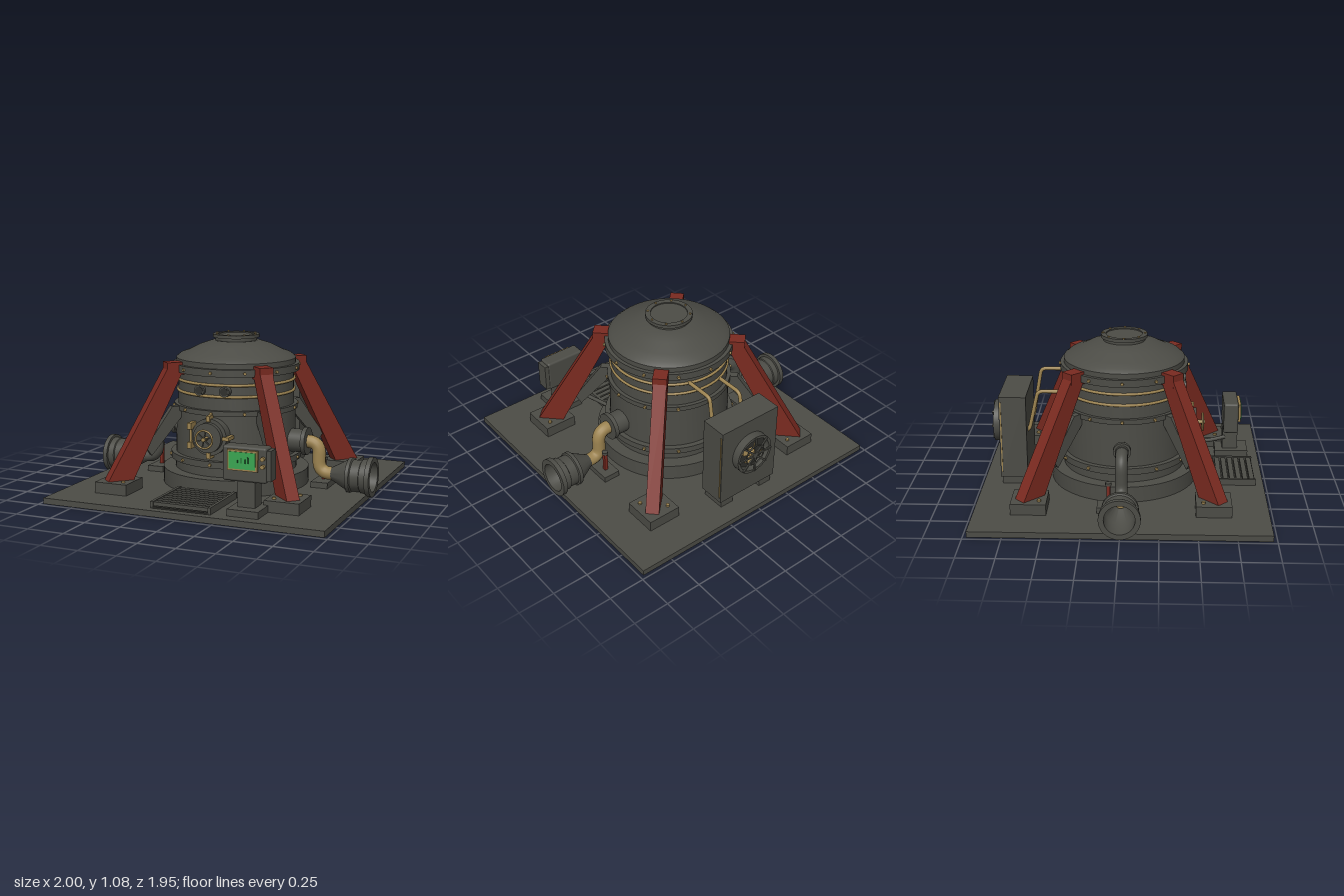
import * as THREE from 'three';
import { toCreasedNormals } from 'three/addons/utils/BufferGeometryUtils.js';
import { RoundedBoxGeometry } from 'three/addons/geometries/RoundedBoxGeometry.js';

function paint(name, color) {
  const m = new THREE.MeshStandardMaterial({ color });
  m.name = name;
  return m;
}

export function createModel() {
  const model = new THREE.Group();
  const steel = paint('dark steel', 0x4c4c46);
  const dark = paint('blackened steel', 0x30302c);
  const red = paint('red paint', 0x7a2a20);
  const brass = paint('brass', 0x9c8350);
  const green = paint('screen green', 0x3aa552);
  const deepGreen = paint('screen dark green', 0x1d5c2c);

  function add(name, geo, mat, x = 0, y = 0, z = 0, parent = model) {
    const mesh = new THREE.Mesh(geo, mat);
    mesh.name = name;
    mesh.position.set(x, y, z);
    parent.add(mesh);
    return mesh;
  }
  // box given by its extents
  function box(name, mat, x0, x1, y0, y1, z0, z1, parent = model) {
    return add(name, new THREE.BoxGeometry(x1 - x0, y1 - y0, z1 - z0), mat,
      (x0 + x1) / 2, (y0 + y1) / 2, (z0 + z1) / 2, parent);
  }
  const lathe = (pts, seg = 64) => toCreasedNormals(
    new THREE.LatheGeometry(pts.map(p => new THREE.Vector2(p[0], p[1])), seg), 0.5);
  const cylX = (r, len, seg = 32) => new THREE.CylinderGeometry(r, r, len, seg).rotateZ(-Math.PI / 2);
  const cylZ = (r, len, seg = 32) => new THREE.CylinderGeometry(r, r, len, seg).rotateX(Math.PI / 2);
  // pipe along straight runs with rounded corners
  function pipe(pts, r, bend) {
    const v = pts.map(p => new THREE.Vector3(...p));
    const path = new THREE.CurvePath();
    let from = v[0];
    for (let i = 1; i < v.length - 1; i++) {
      const a = v[i].clone().add(v[i - 1].clone().sub(v[i]).setLength(bend));
      const b = v[i].clone().add(v[i + 1].clone().sub(v[i]).setLength(bend));
      path.add(new THREE.LineCurve3(from, a));
      path.add(new THREE.QuadraticBezierCurve3(a, v[i], b));
      from = b;
    }
    path.add(new THREE.LineCurve3(from, v[v.length - 1]));
    return new THREE.TubeGeometry(path, 60, r, 16);
  }

  // ground plate
  box('basePlate', steel, -0.975, 0.975, 0.005, 0.045, -0.975, 0.975);

  // vessel with stepped flanges, dome and top cap
  add('vessel', lathe([[0.51, 0.045], [0.51, 0.155], [0.425, 0.155], [0.425, 0.22], [0.455, 0.22],
    [0.455, 0.265], [0.42, 0.265], [0.415, 0.57], [0.43, 0.57], [0.43, 0.605], [0.405, 0.605],
    [0.4, 0.835], [0.44, 0.835], [0.44, 0.885], [0.415, 0.885], [0.415, 0.92], [0.385, 0.945],
    [0.33, 0.965], [0.25, 1.005], [0.16, 1.035], [0.145, 1.035], [0.145, 1.055], [0.16, 1.055],
    [0.16, 1.078], [0.125, 1.078], [0.125, 1.07], [0, 1.07]]), steel);
  for (const y of [0.698, 0.775]) {
    add('brassBand', new THREE.TorusGeometry(0.405, 0.01, 8, 64).rotateX(Math.PI / 2), brass, 0, y, 0);
  }
  // flange bolts
  for (const [y, r] of [[0.243, 0.455], [0.587, 0.43], [0.86, 0.44]]) {
    for (let i = 0; i < 12; i++) {
      const a = i * Math.PI / 6;
      const bolt = add('flangeBolt', cylX(0.011, 0.024, 6), brass, r * Math.cos(a), y, r * Math.sin(a));
      bolt.rotation.y = -a;
    }
  }
  for (let i = 0; i < 8; i++) {
    const a = i * Math.PI / 4;
    add('capBolt', new THREE.CylinderGeometry(0.008, 0.008, 0.008, 6), brass,
      0.143 * Math.cos(a), 1.08, 0.143 * Math.sin(a));
  }

  // support legs, braces and foot pads
  function slab(pts, width) {
    const s = new THREE.Shape(pts.map(p => new THREE.Vector2(...p)));
    return new THREE.ExtrudeGeometry(s, { depth: width, bevelEnabled: false }).translate(0, 0, -width / 2);
  }
  for (let k = 0; k < 4; k++) {
    const leg = new THREE.Group();
    leg.name = 'supportLeg';
    leg.rotation.y = Math.PI / 4 + k * Math.PI / 2;
    model.add(leg);
    add('legBeam', slab([[0.766, 0.12], [0.945, 0.12], [0.52, 0.86], [0.4, 0.86]], 0.09), red, 0, 0, 0, leg);
    box('legHead', red, 0.395, 0.52, 0.82, 0.905, -0.048, 0.048, leg);
    add('legBrace', slab([[0.4, 0.6], [0.48, 0.6], [0.67, 0.33], [0.63, 0.27], [0.4, 0.54]], 0.05), steel, 0, 0, 0, leg);
    const sx = k === 0 || k === 3 ? 1 : -1, sz = k < 2 ? -1 : 1;
    add('footPad', new THREE.BoxGeometry(0.236, 0.075, 0.236), steel, sx * 0.608, 0.0825, sz * 0.608);
    for (const [x, z] of [[0.54, 0.67], [0.67, 0.54]]) {
      add('footBolt', new THREE.CylinderGeometry(0.013, 0.013, 0.014, 6), brass, sx * x, 0.126, sz * z);
    }
  }

  // side pipes with open horns and valve posts
  const horn = lathe([[0.04, 0.7], [0.05, 0.72], [0.11, 0.83], [0.12, 0.83], [0.12, 0.855], [0.108, 0.86],
    [0.108, 0.92], [0.115, 0.925], [0.115, 0.968], [0.135, 0.968], [0.135, 1], [0.1, 1],
    [0.095, 0.86], [0.03, 0.74], [0, 0.74]], 40);
  for (const s of [1, -1]) {
    const y = s > 0 ? 0.36 : 0.4;
    const h = add('horn', horn, steel, 0, 0.15, 0);
    h.rotation.z = -s * Math.PI / 2;
    add('hornCore', cylX(0.03, 0.02), brass, s * 0.755, 0.15, 0);
    add('sidePipe', pipe([[s * 0.38, y, 0], [s * 0.615, y, 0], [s * 0.615, 0.15, 0], [s * 0.73, 0.15, 0]],
      s > 0 ? 0.045 : 0.042, s > 0 ? 0.08 : 0.09), s > 0 ? brass : steel);
    const socket = s > 0 ? 0.095 : 0.06;
    add('pipeSocket', cylX(socket - 0.015, 0.14), steel, s * 0.44, y, 0);
    add('pipeFlange', cylX(socket, 0.03), steel, s * (s > 0 ? 0.52 : 0.47), y, 0);
    add('valvePad', new THREE.BoxGeometry(0.12, 0.04, 0.19), steel, s * 0.625, 0.065, -0.065);
    add('valvePost', new THREE.BoxGeometry(0.025, 0.15, 0.025), red, s * 0.625, 0.15, -0.085);
    add('valveCap', new THREE.CylinderGeometry(0.02, 0.02, 0.02, 16), steel, s * 0.625, 0.23, -0.085);
  }

  // round front hatch with hand wheel
  const hatch = new THREE.Group();
  hatch.name = 'hatch';
  hatch.position.set(0, 0.435, 0);
  model.add(hatch);
  add('hatchFrame', cylZ(0.125, 0.13, 48), steel, 0, 0, 0.405, hatch);
  add('hatchDoor', cylZ(0.1, 0.04, 48), steel, 0, 0, 0.485, hatch);
  add('wheelAxle', cylZ(0.014, 0.07, 16), brass, 0, 0, 0.53, hatch);
  add('handWheel', new THREE.TorusGeometry(0.06, 0.007, 8, 40), brass, 0, 0, 0.55, hatch);
  for (let i = 0; i < 3; i++) {
    const spoke = add('wheelSpoke', new THREE.BoxGeometry(0.12, 0.008, 0.008), steel, 0, 0, 0.55, hatch);
    spoke.rotation.z = i * Math.PI / 3 + 0.3;
  }
  for (const s of [1, -1]) {
    box('hatchLatch', brass, -0.013, 0.013, s * 0.125 - 0.02, s * 0.125 + 0.02, 0.42, 0.485, hatch);
    box('hingeKnuckle', brass, -0.155, -0.125, s * 0.065 - 0.022, s * 0.065 + 0.022, 0.4, 0.48, hatch);
  }
  add('hingePin', new THREE.CylinderGeometry(0.009, 0.009, 0.16, 12), brass, -0.14, 0, 0.455, hatch);
  box('hatchHandle', brass, 0.105, 0.15, -0.012, 0.012, 0.4, 0.49, hatch);

  // small portholes above the hatch
  for (const s of [1, -1]) {
    add('portholeRim', cylZ(0.036, 0.06), steel, s * 0.09, 0.737, 0.395);
    add('portholeGlass', cylZ(0.027, 0.006), dark, s * 0.09, 0.737, 0.426);
  }

  // slatted step in front of the hatch
  box('stepBed', dark, -0.2, 0.2, 0.045, 0.055, 0.5, 0.92);
  for (const s of [1, -1]) {
    box('stepRail', steel, s * 0.2 - 0.01, s * 0.2 + 0.01, 0.045, 0.09, 0.5, 0.92);
  }
  for (let i = 0; i < 9; i++) {
    const z = 0.53 + i * 0.0455;
    box('stepSlat', steel, -0.19, 0.19, 0.06, 0.085, z - 0.017, z + 0.017);
  }

  // control panel on its stand
  box('panelBase', steel, 0.31, 0.52, 0.045, 0.09, 0.66, 0.9);
  box('panelPost', steel, 0.355, 0.47, 0.09, 0.255, 0.715, 0.825);
  add('panelCase', new RoundedBoxGeometry(0.295, 0.225, 0.105, 3, 0.015), steel, 0.395, 0.363, 0.768);
  box('panelSide', steel, 0.53, 0.57, 0.265, 0.46, 0.72, 0.81);
  box('screenBezel', brass, 0.29, 0.49, 0.325, 0.457, 0.81, 0.84);
  box('screen', green, 0.302, 0.478, 0.337, 0.445, 0.838, 0.845);
  for (const [x, h] of [[0.36, 0.02], [0.385, 0.035], [0.41, 0.028], [0.43, 0.04]]) {
    box('screenGauge', deepGreen, x - 0.004, x + 0.004, 0.375, 0.375 + h, 0.843, 0.847);
  }
  for (const y of [0.36, 0.41]) add('panelKnob', cylZ(0.014, 0.03, 16), brass, 0.522, y, 0.827);
  add('panelCable', pipe([[0.26, 0.18, 0.36], [0.31, 0.165, 0.6], [0.36, 0.18, 0.73]], 0.014, 0.08), steel);

  // rear cooling cabinet with fan
  box('cabinet', steel, -0.237, 0.237, 0.1, 0.685, -0.85, -0.663);
  for (const s of [1, -1]) {
    box('cabinetFoot', steel, s * 0.17 - 0.05, s * 0.17 + 0.05, 0.045, 0.1, -0.84, -0.675);
    box('cabinetTrim', brass, s * 0.239 - 0.003, s * 0.239 + 0.003, 0.14, 0.65, -0.842, -0.834);
    const y = s > 0 ? 0.775 : 0.695;
    add('coolantPipe', pipe([[s * 0.13, y, -0.36], [s * 0.13, y, -0.59], [s * 0.13, 0.41, -0.655],
      [s * 0.13, 0.4, -0.7]], 0.013, 0.035), brass);
  }
  const fan = new THREE.Group();
  fan.name = 'fan';
  fan.position.set(0, 0.435, -0.85);
  model.add(fan);
  add('fanRing', lathe([[0.125, -0.01], [0.145, -0.01], [0.145, 0.055], [0.125, 0.055], [0.125, -0.01]], 48)
    .rotateX(-Math.PI / 2), steel, 0, 0, 0, fan);
  add('fanRecess', cylZ(0.126, 0.01, 48), dark, 0, 0, -0.002, fan);
  add('fanHub', cylZ(0.028, 0.05, 20), brass, 0, 0, -0.025, fan);
  for (let i = 0; i < 4; i++) {
    const arm = new THREE.Group();
    arm.rotation.z = i * Math.PI / 2 + 0.4;
    fan.add(arm);
    const blade = box('fanBlade', brass, 0.02, 0.085, -0.02, 0.02, -0.028, -0.022, arm);
    blade.rotation.x = 0.5;
  }
  add('grilleRing', new THREE.TorusGeometry(0.075, 0.005, 8, 40), steel, 0, 0, -0.058, fan);
  for (let i = 0; i < 4; i++) {
    const bar = add('grilleBar', new THREE.BoxGeometry(0.275, 0.012, 0.01), steel, 0, 0, -0.06, fan);
    bar.rotation.z = i * Math.PI / 4;
  }
  return model;
}
